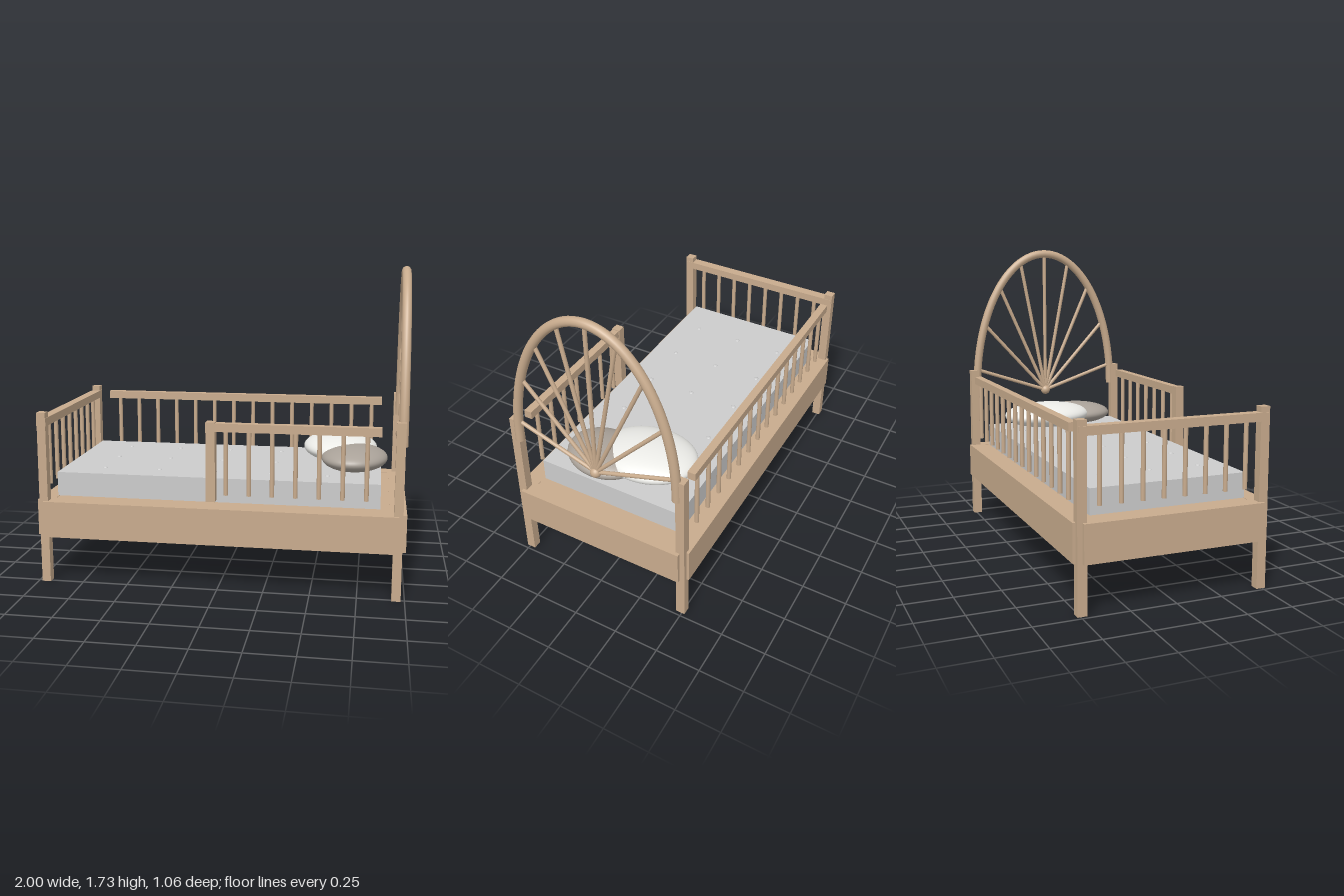
import * as THREE from 'three';

const mat = (color) => new THREE.MeshStandardMaterial({ color });

export function createModel() {
  const bed = new THREE.Group();
  bed.name = 'toddlerBed';
  const wood = mat(0xc8ab8d), sheet = mat(0xd6d6d2), lightCloth = mat(0xececE8), darkCloth = mat(0xaaa299);

  const add = (name, geometry, material, x = 0, y = 0, z = 0) => {
    const mesh = new THREE.Mesh(geometry, material);
    mesh.name = name;
    mesh.position.set(x, y, z);
    bed.add(mesh);
    return mesh;
  };
  // Box given by its minimum and maximum along each axis
  const box = (name, material, [x0, x1], [y0, y1], [z0, z1]) =>
    add(name, new THREE.BoxGeometry(x1 - x0, y1 - y0, z1 - z0), material,
      (x0 + x1) / 2, (y0 + y1) / 2, (z0 + z1) / 2);
  // Round rod between two points
  const rod = (name, a, b, radius) => {
    const dir = b.clone().sub(a);
    const mesh = add(name, new THREE.CylinderGeometry(radius, radius, dir.length(), 16), wood);
    mesh.position.copy(a).add(b).multiplyScalar(0.5);
    mesh.quaternion.setFromUnitVectors(new THREE.Vector3(0, 1, 0), dir.normalize());
  };
  const spindle = (name, x, z) =>
    rod(name, new THREE.Vector3(x, 0.53, z), new THREE.Vector3(x, 0.89, z), 0.012);

  // Base frame, corner posts and slab under the mattress
  for (const s of [-1, 1]) {
    const side = s > 0 ? [0.44, 0.532] : [-0.532, -0.44];
    const end = s > 0 ? [0.91, 1] : [-1, -0.91];
    box('sideRail', wood, [-0.958, 0.958], [0.26, 0.46], side);
    box('endRail', wood, end, [0.26, 0.46], [-0.49, 0.49]);
    for (const t of [-1, 1]) {
      add('cornerPost', new THREE.BoxGeometry(0.048, 0.95, 0.05), wood, s * 0.956, 0.475, t * 0.492);
    }
  }
  box('bedBase', wood, [-0.915, 0.915], [0.39, 0.458], [-0.445, 0.445]);

  // Mattress with tufting buttons
  box('mattress', sheet, [-0.905, 0.862], [0.47, 0.603], [-0.425, 0.425]);
  const buttonGeometry = new THREE.SphereGeometry(0.014, 16, 10);
  for (let i = 0; i < 5; i++) {
    for (const z of [-0.28, 0, 0.28]) {
      add('mattressButton', buttonGeometry, sheet, -0.673 + i * 0.312, 0.602, z).scale.y = 0.5;
    }
  }

  // Back guard
  box('backGuardRail', wood, [-0.865, 0.86], [0.875, 0.92], [-0.514, -0.47]);
  for (let i = 0; i < 14; i++) spindle('backSpindle', -0.8 + i * 0.123, -0.492);

  // Short front guard with its own post
  box('frontGuardPost', wood, [-0.055, -0.005], [0.495, 0.925], [0.465, 0.515]);
  box('frontGuardRail', wood, [-0.03, 0.86], [0.875, 0.92], [0.47, 0.514]);
  for (let i = 0; i < 7; i++) spindle('frontSpindle', 0.05 + i * 0.123, 0.492);

  // Footboard
  box('footRail', wood, [-0.985, -0.93], [0.875, 0.92], [-0.51, 0.51]);
  for (let i = 0; i < 8; i++) spindle('footSpindle', -0.956, -0.395 + i * 0.113);

  // Arched headboard with spokes fanning from a hub
  const headX = 0.968;
  const archPoint = (t) => new THREE.Vector3(headX, 0.83 + 0.87 * Math.sin(t), 0.47 * Math.cos(t));
  const archPoints = Array.from({ length: 25 }, (_, i) => archPoint(i * Math.PI / 24));
  const arch = new THREE.CatmullRomCurve3(archPoints);
  add('headArch', new THREE.TubeGeometry(arch, 72, 0.025, 16), wood);
  for (const z of [-0.47, 0.47]) {
    add('archFoot', new THREE.CylinderGeometry(0.025, 0.025, 0.02, 16), wood, headX, 0.83, z);
  }
  const hub = new THREE.Vector3(headX, 0.795, 0);
  add('spokeHub', new THREE.SphereGeometry(0.03, 24, 16), wood, hub.x, hub.y, hub.z);
  for (let i = -4; i <= 4; i++) {
    rod('headSpoke', hub, archPoint(THREE.MathUtils.degToRad(90 + i * 20.5)), 0.011);
  }

  // Pillows
  const pillow = (name, material, center, radii, yaw) => {
    const mesh = add(name, new THREE.SphereGeometry(1, 48, 32), material, ...center);
    mesh.scale.set(...radii);
    mesh.rotation.y = yaw;
  };
  pillow('largePillow', lightCloth, [0.627, 0.69, -0.108], [0.21, 0.075, 0.274], 0.1);
  pillow('smallPillow', darkCloth, [0.715, 0.675, 0.115], [0.18, 0.068, 0.222], -0.2);

  return bed;
}
